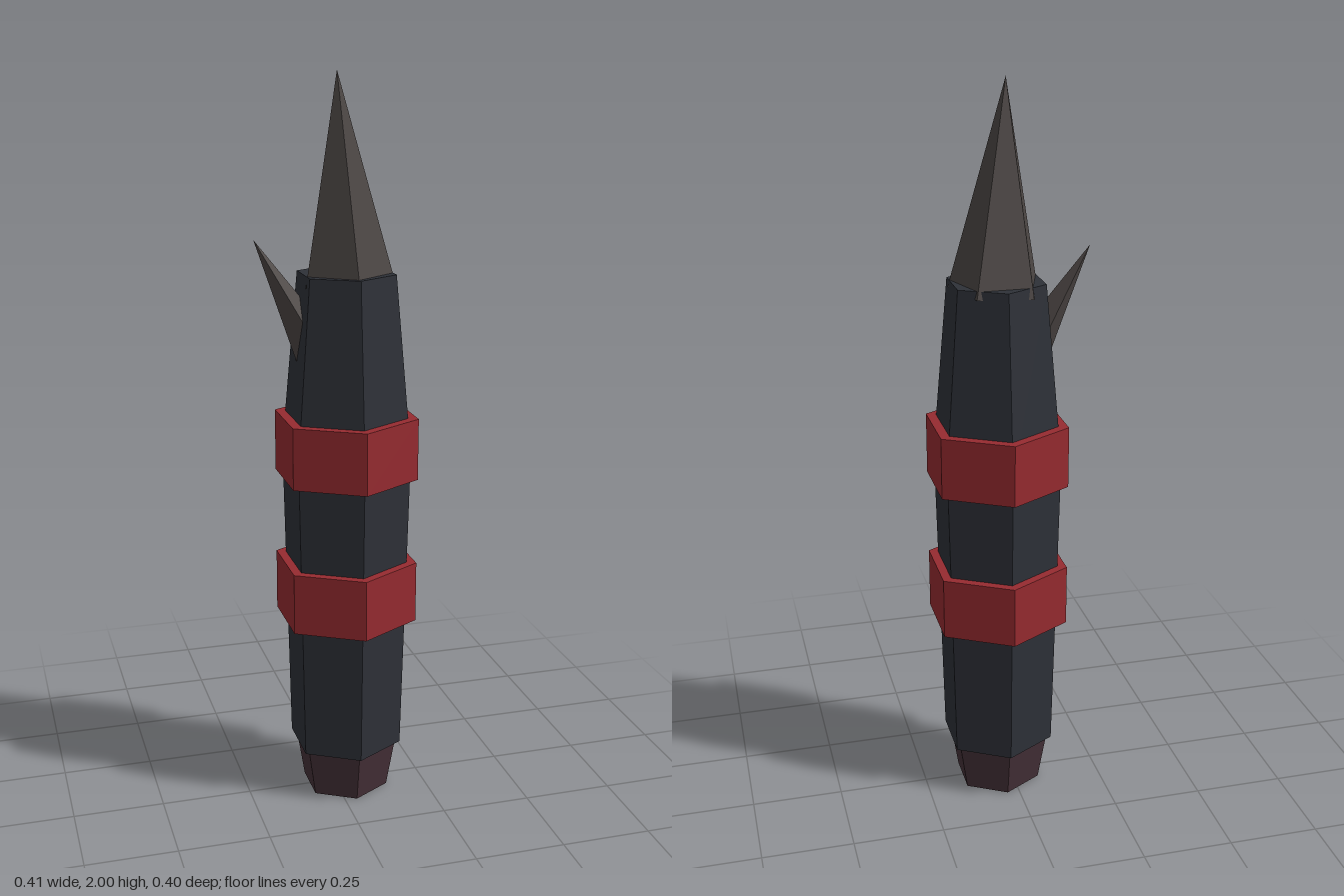
import * as THREE from 'three';

const mat = (color) => new THREE.MeshStandardMaterial({ color, flatShading: true });

export function createModel() {
  const model = new THREE.Group();
  const wood = mat(0x2e3138);
  const red = mat(0x962b30);
  const bone = mat(0x4c4644);
  const butt = mat(0x463138);

  // Everything but the side thorn sits on one hexagonal shaft axis
  const shaft = new THREE.Group();
  shaft.name = 'shaft';
  shaft.position.x = 0.034;
  model.add(shaft);

  const hexSection = (name, y0, y1, r0, r1, material) => {
    const mesh = new THREE.Mesh(new THREE.CylinderGeometry(r1, r0, y1 - y0, 6), material);
    mesh.name = name;
    mesh.position.y = (y0 + y1) / 2;
    shaft.add(mesh);
  };

  hexSection('buttCap', 0, 0.14, 0.122, 0.146, butt);
  hexSection('lowerShaft', 0.14, 1.0, 0.16, 0.18, wood);
  hexSection('upperShaft', 1.0, 1.485, 0.18, 0.135, wood);
  hexSection('lowerBand', 0.52, 0.69, 0.2, 0.2, red);
  hexSection('upperBand', 0.93, 1.1, 0.2, 0.2, red);

  // Spikes run from a base centre to an apex
  const spike = (name, base, apex, radius, sides) => {
    const dir = apex.clone().sub(base);
    const mesh = new THREE.Mesh(new THREE.ConeGeometry(radius, dir.length(), sides), bone);
    mesh.name = name;
    mesh.position.copy(base).add(apex).multiplyScalar(0.5);
    mesh.quaternion.setFromUnitVectors(new THREE.Vector3(0, 1, 0), dir.normalize());
    model.add(mesh);
  };

  spike('tipSpike', new THREE.Vector3(0.034, 1.46, 0), new THREE.Vector3(0.008, 2, 0), 0.127, 5);
  spike('sideThorn', new THREE.Vector3(-0.027, 1.24, 0), new THREE.Vector3(-0.206, 1.575, -0.038), 0.068, 4);

  return model;
}
